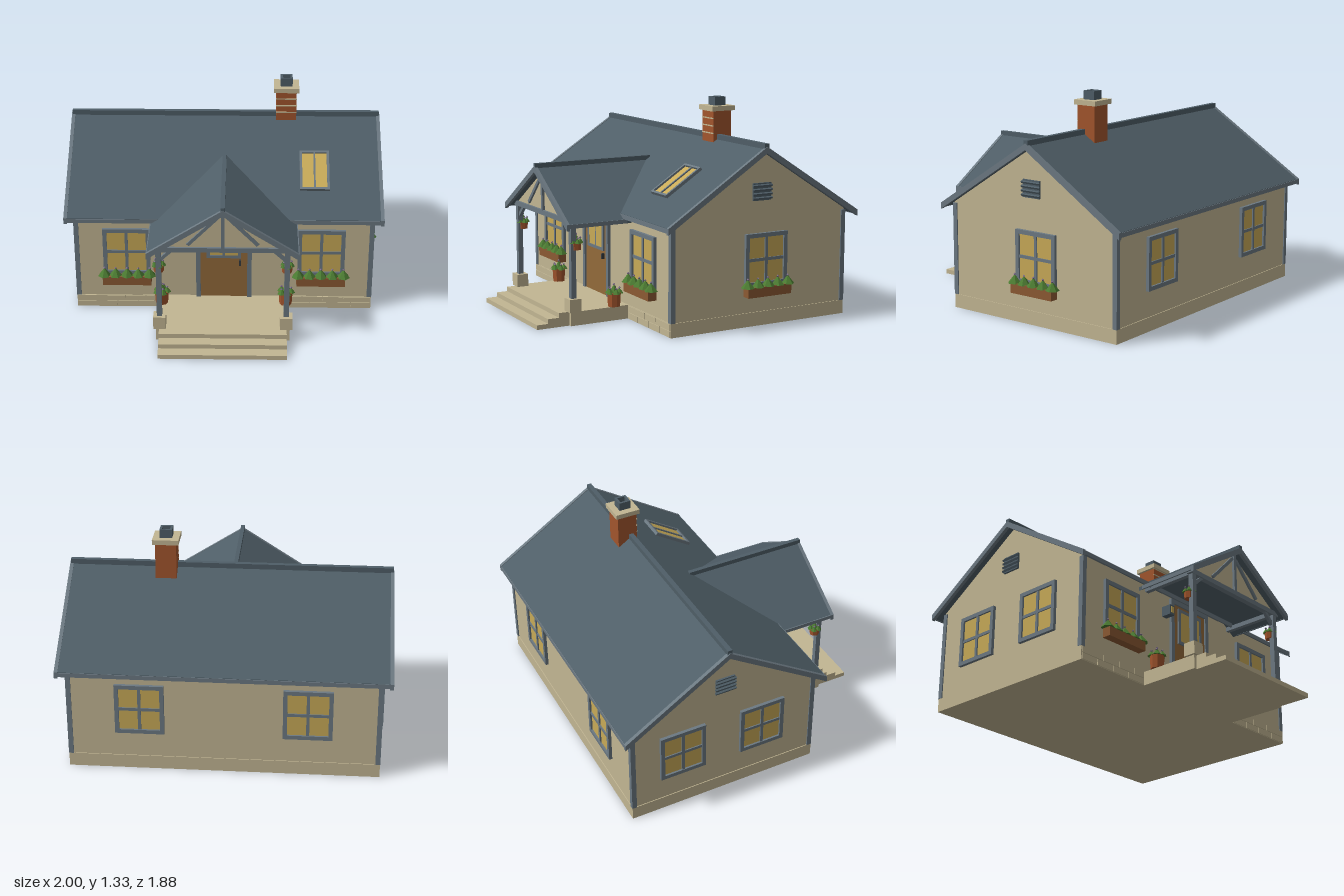
import * as THREE from 'three';

const paint = (name, color) => Object.assign(new THREE.MeshStandardMaterial({ color }), { name });

export function createModel() {
  const wall = paint('cream wall', 0xc2b693), roof = paint('slate roof', 0x4f5e67),
    trim = paint('grey trim', 0x6c7982), glass = paint('warm glass', 0xc8aa58),
    door = paint('door wood', 0x936a3a), crate = paint('planter wood', 0x8c5a33),
    brick = paint('brick', 0xa2552d), leaf = paint('leaf green', 0x4c7c32),
    petal = paint('petal', 0x80708c), dark = paint('dark metal', 0x33393d);

  const house = new THREE.Group();
  house.name = 'cottage';
  house.position.x = -0.005;
  const SLOPE = 0.64, RIDGE_Z = -0.272, RIDGE_Y = 1.08;

  const add = (parent, name, geo, mat, x = 0, y = 0, z = 0) => {
    const m = new THREE.Mesh(geo, mat);
    m.name = name;
    m.position.set(x, y, z);
    parent.add(m);
    return m;
  };
  const group = (name, x, y, z, ry = 0) => {
    const g = new THREE.Group();
    g.name = name;
    g.position.set(x, y, z);
    g.rotation.y = ry;
    house.add(g);
    return g;
  };
  // box from its minimum and maximum corners
  const block = (parent, name, mat, x0, x1, y0, y1, z0, z1) =>
    add(parent, name, new THREE.BoxGeometry(x1 - x0, y1 - y0, z1 - z0), mat,
      (x0 + x1) / 2, (y0 + y1) / 2, (z0 + z1) / 2);
  const extrude = (pts, depth, hole) => {
    const s = new THREE.Shape(pts.map(p => new THREE.Vector2(...p)));
    if (hole) s.holes.push(new THREE.Path(hole.map(p => new THREE.Vector2(...p))));
    return new THREE.ExtrudeGeometry(s, { depth, bevelEnabled: false });
  };
  // inverted V slab with its ridge at the origin
  const chevron = (half, up, down, depth) => extrude([
    [-half, -half * SLOPE - down], [0, -down], [half, -half * SLOPE - down],
    [half, -half * SLOPE + up], [0, up], [-half, -half * SLOPE + up]], depth);
  // square timber between two points in the xy plane
  const timber = (name, x0, y0, x1, y1, z, t) => {
    const m = add(house, name, new THREE.BoxGeometry(t, Math.hypot(x1 - x0, y1 - y0), t), trim,
      (x0 + x1) / 2, (y0 + y1) / 2, z);
    m.rotation.z = Math.atan2(x0 - x1, y1 - y0);
  };
  const faceted = geo => {
    const g = geo.toNonIndexed();
    g.computeVertexNormals();
    return g;
  };

  // plinth with stone facing, porch deck and steps
  block(house, 'plinth', wall, -0.935, 0.935, 0, 0.085, -0.885, 0.345);
  for (const s of [-1, 1]) for (let row = 0; row < 2; row++) for (let i = 0; i < 4; i++) {
    const a = 0.42 + i * 0.13 + (row && i ? -0.05 : 0);
    const b = i === 3 ? 0.93 : 0.545 + i * 0.13 - (row ? 0.05 : 0);
    block(house, 'plinthStone', wall, Math.min(s * a, s * b), Math.max(s * a, s * b),
      0.003 + row * 0.041, 0.041 + row * 0.041, 0.345, 0.35);
  }
  block(house, 'porchDeck', wall, -0.41, 0.41, 0, 0.085, 0.345, 0.73);
  for (let i = 0; i < 3; i++)
    block(house, 'step', wall, -0.39, 0.39, 0, 0.085 - i * 0.0285, 0.73, 0.8 + i * 0.0715);

  // walls with gable ends
  const body = add(house, 'walls', extrude([[-0.61, 0.085], [0.61, 0.085], [0.61, 0.665],
    [0, 1.06], [-0.61, 0.665]], 1.86), wall, -0.93, 0, -0.27);
  body.rotation.y = Math.PI / 2;
  for (const x of [-0.922, 0.922]) for (const z of [-0.872, 0.332])
    block(house, 'cornerTrim', trim, x - 0.015, x + 0.015, 0.085, 0.655, z - 0.015, z + 0.015);

  // main roof, verge boards, eaves and ridge cap
  const slab = (name, mat, half, up, down, x, len) => {
    add(house, name, chevron(half, up, down, len), mat, x, RIDGE_Y, RIDGE_Z).rotation.y = Math.PI / 2;
  };
  slab('mainRoof', roof, 0.662, 0, 0.028, -0.975, 1.95);
  for (const x of [-0.99, 0.968]) slab('vergeBoard', trim, 0.667, 0.004, 0.034, x, 0.022);
  for (const s of [-1, 1]) add(house, 'eaveTrim', new THREE.BoxGeometry(1.95, 0.026, 0.01), trim,
    0, 0.641, RIDGE_Z + s * 0.662);
  block(house, 'ridgeCap', roof, -0.985, 0.985, 1.065, 1.102, RIDGE_Z - 0.015, RIDGE_Z + 0.015);

  // porch roof running back into the main roof
  add(house, 'porchRoof', chevron(0.452, 0, 0.025, 0.785), roof, 0, 0.915, -0.028);
  add(house, 'porchVerge', chevron(0.457, 0.004, 0.034, 0.02), trim, 0, 0.915, 0.755);
  block(house, 'porchRidgeCap', roof, -0.013, 0.013, 0.9, 0.935, -0.03, 0.772);
  for (const s of [-1, 1])
    add(house, 'porchEaveTrim', new THREE.BoxGeometry(0.01, 0.024, 0.4), trim, s * 0.452, 0.614, 0.57);
  add(house, 'porchGable', extrude([[-0.4, 0.635], [0.4, 0.635], [0, 0.89]], 0.02), wall, 0, 0, 0.69);

  // porch frame and truss
  block(house, 'tieBeam', trim, -0.42, 0.42, 0.612, 0.642, 0.69, 0.725);
  timber('kingPost', 0, 0.64, 0, 0.885, 0.715, 0.022);
  for (const s of [-1, 1]) {
    timber('trussStrut', s * 0.21, 0.66, s * 0.015, 0.86, 0.713, 0.02);
    timber('kneeBrace', s * 0.38, 0.55, s * 0.3, 0.625, 0.705, 0.02);
    const x = s * 0.387;
    block(house, 'porchPost', trim, x - 0.016, x + 0.016, 0.16, 0.625, 0.69, 0.722);
    block(house, 'postBase', wall, x - 0.038, x + 0.038, 0.085, 0.165, 0.668, 0.744);
    block(house, 'sideBeam', trim, x - 0.014, x + 0.014, 0.612, 0.64, 0.345, 0.7);
  }

  // glazed frame in the xy plane facing +z, with bars between the panes
  const glazing = (g, w, h, bar, depth, rows) => {
    add(g, 'glass', new THREE.BoxGeometry(w - bar, h - bar, 0.008), glass, 0, 0, 0.004);
    for (const s of [-1, 1]) {
      add(g, 'frameSide', new THREE.BoxGeometry(bar, h, depth), trim, s * (w - bar) / 2, 0, depth / 2);
      add(g, 'frameRail', new THREE.BoxGeometry(w - 2 * bar, bar, depth), trim, 0, s * (h - bar) / 2, depth / 2);
    }
    add(g, 'mullion', new THREE.BoxGeometry(bar * 0.75, h - 2 * bar, depth * 0.8), trim, 0, 0, depth * 0.4);
    if (rows > 1) add(g, 'crossBar', new THREE.BoxGeometry(w - 2 * bar, bar * 0.75, depth * 0.75), trim, 0, 0, depth * 0.375);
  };
  // tuft of leaves with a small flower
  const tuft = (g, x, y, z, r, h) => {
    const c = add(g, 'leaves', faceted(new THREE.ConeGeometry(r, h, 6)), leaf, x, y + h / 2, z);
    c.rotation.y = x * 9;
    add(g, 'flower', new THREE.OctahedronGeometry(0.009), petal, x, y + h, z);
  };
  const planter = g => {
    add(g, 'planterBox', new THREE.BoxGeometry(0.305, 0.06, 0.055), crate, 0, -0.187, 0.032);
    for (let i = -2; i <= 2; i++) tuft(g, i * 0.071, -0.16, 0.034, 0.042, 0.052);
  };

  // windows: x, z, turn, with planter
  const Q = Math.PI / 2;
  for (const [x, z, turn, flowers] of [[-0.61, 0.34, 0, 1], [0.61, 0.34, 0, 1], [0.93, -0.305, Q, 1],
    [-0.93, -0.55, -Q, 0], [-0.93, -0.02, -Q, 0], [-0.5, -0.88, 2 * Q, 0], [0.5, -0.88, 2 * Q, 0]]) {
    const g = group('window', x, 0.405, z, turn);
    glazing(g, 0.295, 0.32, 0.025, 0.02, 2);
    if (flowers) planter(g);
  }

  // gable vents
  for (const s of [-1, 1]) {
    const g = group('gableVent', s * 0.93, 0.813, RIDGE_Z, s * Q);
    add(g, 'ventPanel', new THREE.BoxGeometry(0.125, 0.105, 0.012), roof, 0, 0, 0.006);
    for (let i = 0; i < 4; i++)
      add(g, 'ventSlat', new THREE.BoxGeometry(0.136, 0.012, 0.012), roof, 0, -0.038 + i * 0.025, 0.014).rotation.x = 0.5;
  }

  // skylight lying on the front slope
  const skylight = group('skylight', 0.565, RIDGE_Y - SLOPE * 0.364, RIDGE_Z + 0.364);
  skylight.rotation.x = Math.atan(SLOPE) - Q;
  glazing(skylight, 0.185, 0.285, 0.015, 0.02, 1);

  // front door with window and handle
  block(house, 'doorLeaf', door, -0.147, 0.147, 0.085, 0.63, 0.335, 0.348);
  for (const s of [-1, 1]) add(house, 'doorJamb', new THREE.BoxGeometry(0.028, 0.545, 0.025), trim, s * 0.161, 0.357, 0.347);
  block(house, 'doorHead', trim, -0.175, 0.175, 0.62, 0.648, 0.335, 0.36);
  glazing(group('doorWindow', 0, 0.483, 0.348), 0.215, 0.235, 0.02, 0.01, 2);
  block(house, 'doorHandle', dark, 0.095, 0.108, 0.315, 0.35, 0.348, 0.366);

  // wall lantern
  block(house, 'lanternBody', roof, -0.242, -0.202, 0.505, 0.568, 0.335, 0.405);
  block(house, 'lanternGlass', glass, -0.234, -0.21, 0.517, 0.556, 0.404, 0.41);

  // potted plants: hanging on the posts and standing on the deck
  const pot = (name, x, y, z, r, h) => {
    const g = group(name, x, y, z);
    add(g, 'pot', faceted(new THREE.CylinderGeometry(r, r * 0.88, h, 8)), brick, 0, h / 2, 0);
    for (let i = 0; i < 5; i++) {
      const a = i * Math.PI * 0.4;
      tuft(g, Math.cos(a) * r * 0.75, h - 0.005, Math.sin(a) * r * 0.75, r * 0.6, 0.032);
    }
    tuft(g, 0, h, 0, r * 0.7, 0.05);
  };
  for (const s of [-1, 1]) {
    pot('hangingPot', s * 0.387, 0.46, 0.682, 0.034, 0.045);
    pot('deckPot', s * 0.39, 0.085, 0.43, 0.044, 0.085);
  }

  // chimney with mortar lines, cap and hollow flue
  const cx = 0.39, cz = -0.295;
  block(house, 'chimneyStack', brick, cx - 0.064, cx + 0.064, 0.95, 1.248, cz - 0.064, cz + 0.064);
  for (let i = 0; i < 4; i++)
    block(house, 'mortarLine', wall, cx - 0.066, cx + 0.066, 1.105 + i * 0.046, 1.112 + i * 0.046, cz + 0.06, cz + 0.068);
  block(house, 'chimneyCap', wall, cx - 0.08, cx + 0.08, 1.247, 1.277, cz - 0.08, cz + 0.08);
  const square = r => [[-r, -r], [r, -r], [r, r], [-r, r]];
  add(house, 'flue', extrude(square(0.038), 0.053, square(0.024)), roof, cx, 1.277, cz).rotation.x = -Q;

  const model = new THREE.Group();
  model.name = 'model';
  model.add(house);
  return model;
}
